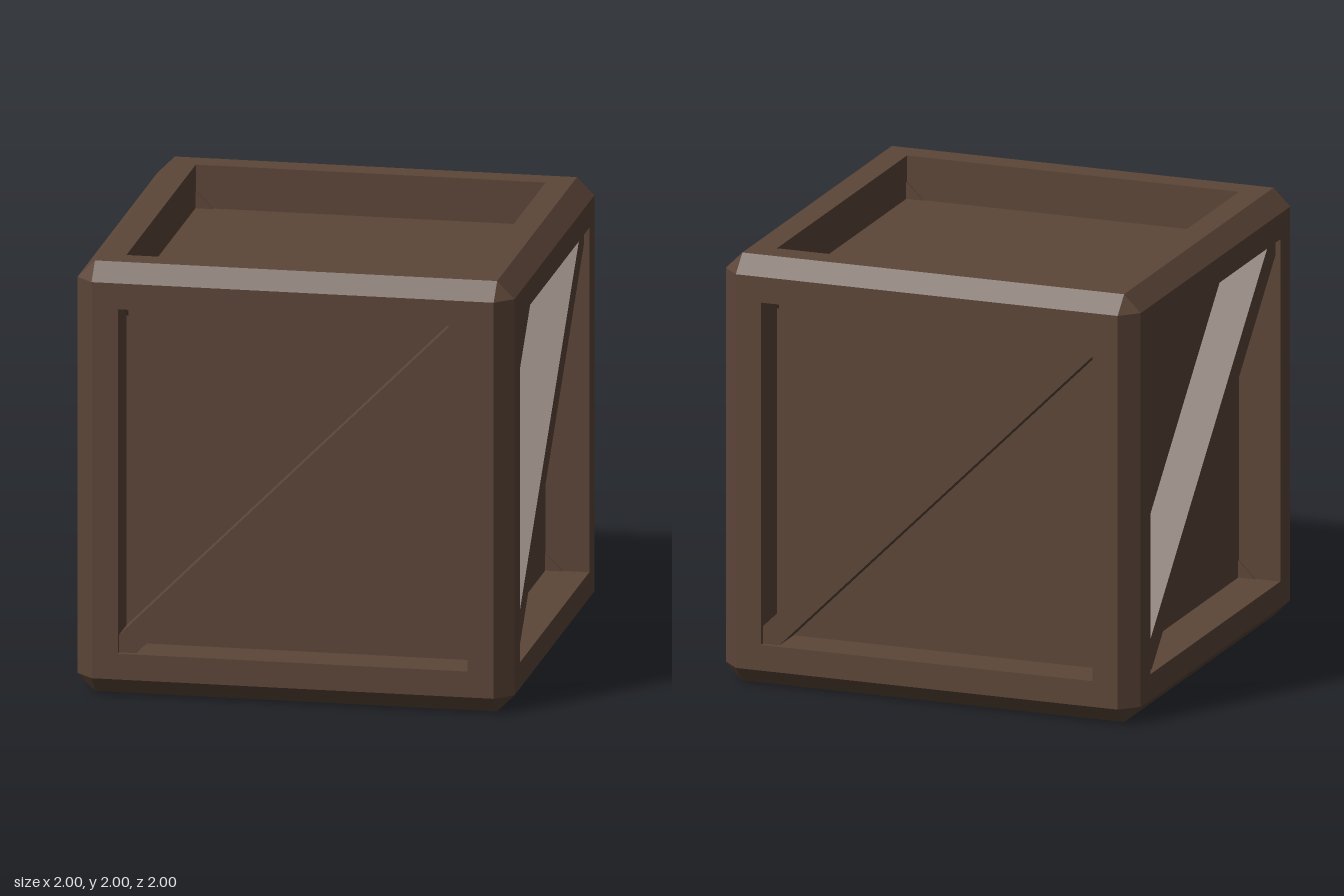
import * as THREE from 'three';
import { mergeGeometries } from 'three/addons/utils/BufferGeometryUtils.js';
import { ConvexGeometry } from 'three/addons/geometries/ConvexGeometry.js';

const FACE = 0.92;   // half width of each flat face, inside the chamfer
const INNER = 0.8;   // half width of the opening, also the panel plane
const DEPTH = 0.2;   // depth of the recess
const Q = Math.PI / 2;

const square = (h, Type) => {
  const s = new Type();
  s.moveTo(-h, -h).lineTo(h, -h).lineTo(h, h).lineTo(-h, h).closePath();
  return s;
};

// Flat border with the four walls of its recess, facing +z
function frameGeometry() {
  const border = square(FACE, THREE.Shape);
  border.holes.push(square(INNER, THREE.Path));
  const parts = [new THREE.ShapeGeometry(border).translate(0, 0, 1)];
  for (let k = 0; k < 4; k++) {
    parts.push(new THREE.PlaneGeometry(DEPTH, 2 * INNER)
      .rotateY(-Q).translate(INNER, 0, 1 - DEPTH / 2).rotateZ(k * Q));
  }
  return mergeGeometries(parts);
}

// Bevelled strips along all twelve edges
function chamferGeometry() {
  const parts = [];
  const mid = (1 + FACE) / 2;
  for (let k = 0; k < 4; k++) {
    const strip = new THREE.PlaneGeometry(2 * FACE, (1 - FACE) * Math.SQRT2)
      .rotateX(-Math.PI / 4).translate(0, mid, mid).rotateX(k * Q);
    parts.push(strip, strip.clone().rotateZ(Q), strip.clone().rotateY(Q));
  }
  return mergeGeometries(parts);
}

export function createModel() {
  const model = new THREE.Group();
  model.name = 'crate';
  const wood = new THREE.MeshStandardMaterial({ color: 0x5c4538, flatShading: true });

  const body = new THREE.Group();
  body.name = 'body';
  body.position.y = 1;
  model.add(body);

  const add = (parent, geometry, name) => {
    const mesh = new THREE.Mesh(geometry, wood);
    mesh.name = name;
    parent.add(mesh);
    return mesh;
  };

  const frame = frameGeometry();
  const panel = new THREE.PlaneGeometry(2 * INNER, 2 * INNER).translate(0, 0, INNER);
  // Diagonal brace, its ends buried in the frame
  const brace = new THREE.BoxGeometry(2.4, 0.113, 0.185)
    .rotateZ(Math.PI / 4).translate(0, 0, 0.8825);

  // Six faces; only the upright ones carry a brace
  const faces = [
    ['front', 0, 0], ['left', 0, Q], ['back', 0, 2 * Q], ['right', 0, 3 * Q],
    ['top', -Q, 0], ['bottom', Q, 0],
  ];
  for (const [name, rx, ry] of faces) {
    const side = new THREE.Group();
    side.name = name + 'Side';
    side.rotation.set(rx, ry, 0);
    add(side, frame, 'frame');
    add(side, panel, 'panel');
    if (rx === 0) add(side, brace, 'diagonalBrace');
    body.add(side);
  }

  add(body, chamferGeometry(), 'edgeChamfers');

  // Triangular caps on the eight corners
  for (const x of [-1, 1]) for (const y of [-1, 1]) for (const z of [-1, 1]) {
    const point = (a, b, c) => new THREE.Vector3(x * a, y * b, z * c);
    add(body, new ConvexGeometry([
      point(1, FACE, FACE), point(FACE, 1, FACE), point(FACE, FACE, 1), point(FACE, FACE, FACE),
    ]), 'cornerCap');
  }
  return model;
}
